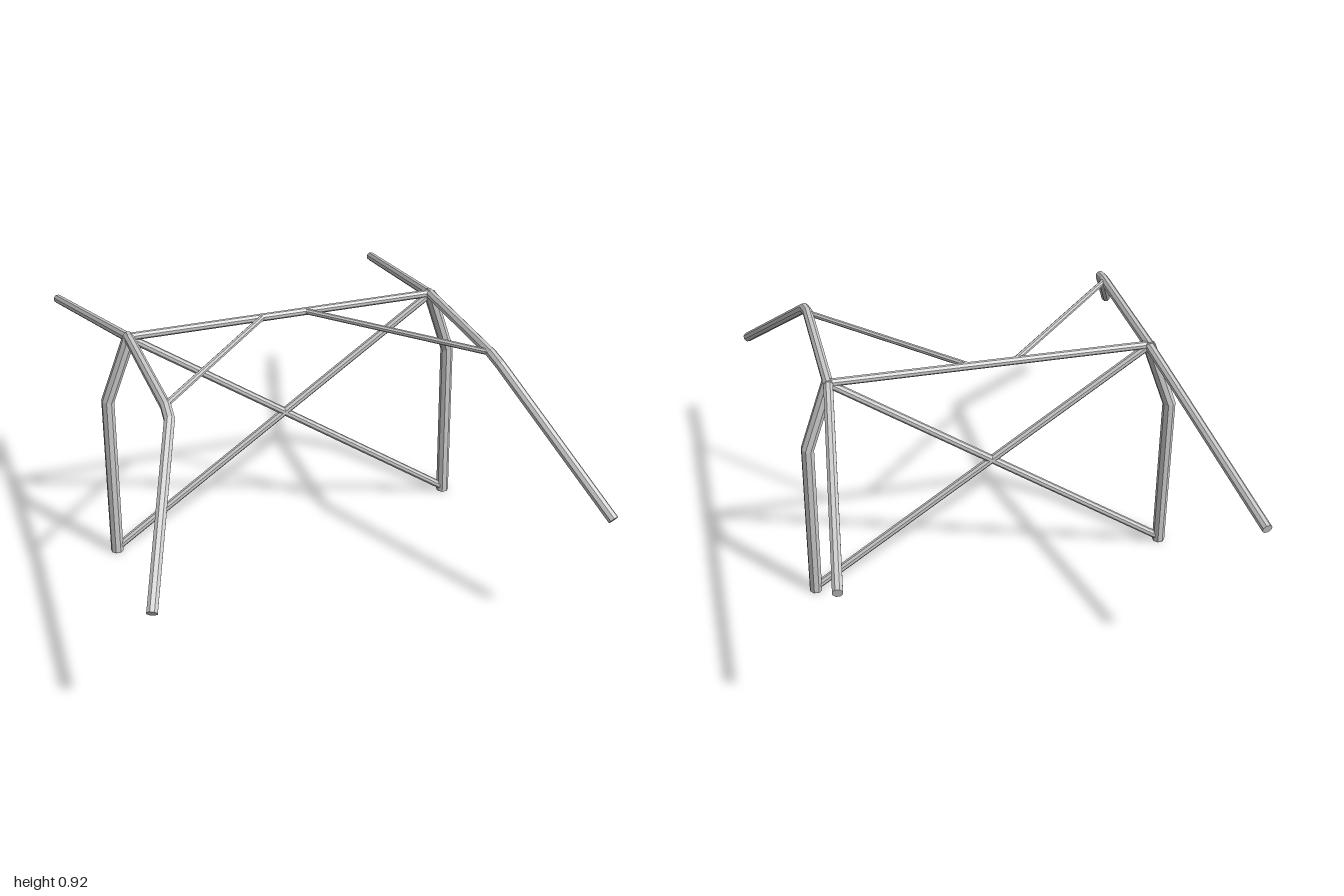
import * as THREE from 'three';

const SIDES = 8;
const material = new THREE.MeshStandardMaterial({ color: 0xcccccc, flatShading: true });

// Sweeps a polygonal pipe along straight runs, with mitred bends and closed ends.
function pipe(name, points, radius) {
  const pts = points.map((p) => new THREE.Vector3(...p));
  const dirs = pts.slice(1).map((p, i) => p.clone().sub(pts[i]).normalize());
  const up = Math.abs(dirs[0].y) > 0.9 ? new THREE.Vector3(0, 0, 1) : new THREE.Vector3(0, 1, 0);
  const u = new THREE.Vector3().crossVectors(up, dirs[0]).normalize();
  const v = new THREE.Vector3().crossVectors(dirs[0], u);

  let ring = [];
  for (let k = 0; k < SIDES; k++) {
    const a = ((k + 0.5) / SIDES) * Math.PI * 2;
    ring.push(pts[0].clone().addScaledVector(u, radius * Math.cos(a)).addScaledVector(v, radius * Math.sin(a)));
  }
  const rings = [ring];
  for (let i = 1; i < pts.length; i++) {
    // slide the previous ring along its run until it meets the mitre plane
    const d = dirs[i - 1];
    const normal = d.clone().add(dirs[i] ?? d).normalize();
    ring = ring.map((p) => p.clone().addScaledVector(d, pts[i].clone().sub(p).dot(normal) / d.dot(normal)));
    rings.push(ring);
  }

  const position = rings.flat().concat(pts[0], pts[pts.length - 1]).flatMap((p) => p.toArray());
  const index = [];
  const last = (rings.length - 1) * SIDES;
  const startCentre = last + SIDES;
  for (let k = 0; k < SIDES; k++) {
    const n = (k + 1) % SIDES;
    for (let b = 0; b < last; b += SIDES) {
      index.push(b + k, b + n, b + SIDES + n, b + k, b + SIDES + n, b + SIDES + k);
    }
    index.push(startCentre, n, k, startCentre + 1, last + k, last + n);
  }
  const geometry = new THREE.BufferGeometry();
  geometry.setAttribute('position', new THREE.Float32BufferAttribute(position, 3));
  geometry.setIndex(index);
  geometry.computeVertexNormals();
  const mesh = new THREE.Mesh(geometry, material);
  mesh.name = name;
  return mesh;
}

export function createModel() {
  const group = new THREE.Group();
  group.name = 'rollCage';
  const add = (name, points, radius) => group.add(pipe(name, points, radius));

  for (const [side, s] of [['left', 1], ['right', -1]]) {
    // upright of the main hoop, kinked inwards near the top
    add(side + 'HoopLeg', [[s * 0.685, 0.003, -0.112], [s * 0.675, 0.65, -0.13], [s * 0.585, 0.9, -0.115]], 0.024);
    // roof rail bending down into the front pillar
    add(side + 'RailAndFrontPillar', [
      [s * 0.585, 0.9, -0.13], [s * 0.585, 0.902, 0.42], [s * 0.59, 0.888, 0.485], [s * 0.79, 0.52, 0.987],
    ], 0.019);
    // rear stay
    add(side + 'RearStay', [[s * 0.583, 0.902, -0.105], [s * 0.695, 0.685, -0.996]], 0.018);
    // thin roof brace from crossbar to rail
    add(side + 'RoofBrace', [[s * 0.085, 0.903, -0.115], [s * 0.582, 0.903, 0.41]], 0.011);
    // diagonal of the rear cross
    add(side + 'Diagonal', [[s * 0.578, 0.895, -0.118], [s * -0.68, 0.02, -0.112]], 0.015);
  }
  // top of the main hoop
  add('crossbar', [[-0.585, 0.902, -0.118], [0.585, 0.902, -0.118]], 0.0145);

  return group;
}
